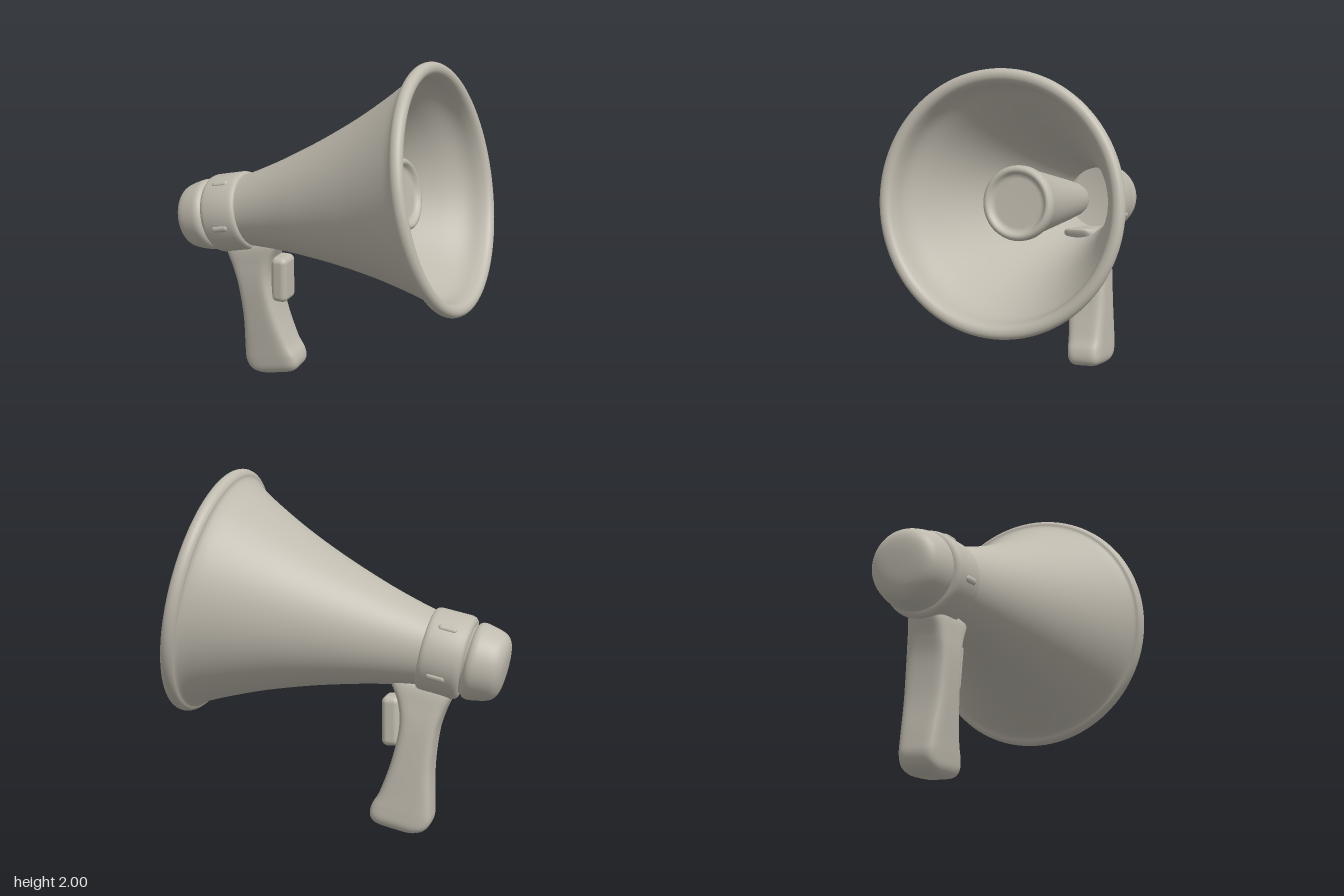
import * as THREE from 'three';
import { toCreasedNormals } from 'three/addons/utils/BufferGeometryUtils.js';
import { RoundedBoxGeometry } from 'three/addons/geometries/RoundedBoxGeometry.js';

const vecs = (pts) => pts.map(([x, y]) => new THREE.Vector2(x, y));

// Revolves a [radius, position] profile about the horn's own z axis
function revolve(points, segments = 96) {
  return new THREE.LatheGeometry(points, segments).rotateX(Math.PI / 2);
}

// Lofts rounded rectangles through [height, back, front, half width] stations, top to bottom
function loft(stations, rows = 72, sides = 64) {
  const pick = (k) => new THREE.SplineCurve(stations.map((s) => new THREE.Vector2(s[0], s[k])));
  const [backs, fronts, widths] = [pick(1), pick(2), pick(3)];
  const power = (v) => Math.sign(v) * Math.abs(v) ** 0.4;
  const positions = [];
  const index = [];
  for (let i = 0; i <= rows; i++) {
    const back = backs.getPoint(i / rows);
    const front = fronts.getPoint(i / rows).y;
    const width = widths.getPoint(i / rows).y;
    for (let j = 0; j < sides; j++) {
      const t = (j / sides) * Math.PI * 2;
      positions.push(
        width * power(Math.cos(t)), back.x,
        (back.y + front) / 2 + ((front - back.y) / 2) * power(Math.sin(t)),
      );
      if (i === rows) continue;
      const a = i * sides + j;
      const b = i * sides + ((j + 1) % sides);
      index.push(a, b, a + sides, b, b + sides, a + sides);
    }
  }
  const geometry = new THREE.BufferGeometry();
  geometry.setAttribute('position', new THREE.Float32BufferAttribute(positions, 3));
  geometry.setIndex(index);
  geometry.computeVertexNormals();
  return geometry;
}

export function createModel() {
  const model = new THREE.Group();
  const material = new THREE.MeshStandardMaterial({ color: 0xbfbaae, side: THREE.DoubleSide });
  material.name = 'warm grey';

  // The horn points along local +z, with the centre of its mouth at the origin
  const megaphone = new THREE.Group();
  megaphone.name = 'megaphone';
  megaphone.position.set(0.495, 1.3, 0.26);
  megaphone.rotation.set(-0.193, 0.946, 0, 'YXZ');
  model.add(megaphone);

  const add = (name, geometry) => {
    const mesh = new THREE.Mesh(geometry, material);
    mesh.name = name;
    megaphone.add(mesh);
    return mesh;
  };

  // Flared bell: thin wall, blended into a thick rolled rim and back down the inside
  const wall = [
    [0.2, -1.46], [0.213, -1.28], [0.264, -1.05], [0.325, -0.84],
    [0.39, -0.645], [0.473, -0.43], [0.555, -0.25], [0.624, -0.115],
  ];
  const rim = [
    [0.656, -0.063], [0.676, -0.042], [0.697, -0.034], [0.712, -0.018], [0.717, 0.002],
    [0.712, 0.021], [0.699, 0.034], [0.68, 0.038], [0.66, 0.032], [0.645, 0.015], [0.634, -0.02],
  ];
  const lining = wall.map(([r, z]) => [r - 0.01, z + 0.003]).reverse();
  add('bell', revolve(new THREE.SplineCurve(vecs([...wall, ...rim, ...lining])).getPoints(156), 112));

  // Inner horn with a rounded root, a rolled lip and a recessed face
  add('innerHorn', revolve(vecs([
    [0, -1.15], [0.04, -1.142], [0.072, -1.12], [0.09, -1.085], [0.104, -1.03],
    [0.126, -0.87], [0.165, -0.55], [0.192, -0.33], [0.203, -0.305],
    [0.208, -0.28], [0.208, -0.255], [0.203, -0.238], [0.193, -0.228], [0.181, -0.226],
    [0.17, -0.232], [0.162, -0.245], [0.152, -0.254], [0.135, -0.257], [0, -0.257],
  ]), 64));

  // Collar around the throat of the bell
  add('collar', toCreasedNormals(revolve(vecs([
    [0, -1.492], [0.205, -1.492], [0.222, -1.487], [0.233, -1.475], [0.238, -1.455],
    [0.238, -1.29], [0.236, -1.272], [0.229, -1.26], [0.22, -1.256], [0.208, -1.256],
  ])), 0.7));

  // Rounded end cap, joined to the collar by a narrow neck
  add('endCap', revolve(new THREE.SplineCurve(vecs([
    [0, -1.712], [0.08, -1.709], [0.14, -1.698], [0.178, -1.674], [0.198, -1.635],
    [0.215, -1.56], [0.216, -1.53], [0.208, -1.512], [0.195, -1.5], [0.19, -1.48],
  ])).getPoints(54)));

  // Small raised pads around the collar
  for (const degrees of [-104, -32, 40, 112]) {
    const a = THREE.MathUtils.degToRad(degrees);
    const pad = add('collarPad', new THREE.CapsuleGeometry(0.019, 0.068, 6, 16).rotateX(Math.PI / 2));
    pad.scale.y = 0.6;
    pad.position.set(0.236 * Math.sin(a), 0.236 * Math.cos(a), -1.368);
    pad.rotation.z = -a;
  }

  // Handle, slightly rolled about the horn's axis
  const handle = add('handle', loft([
    [-0.175, -1.28, -1.28, 0], [-0.18, -1.41, -1.13, 0.05], [-0.2, -1.462, -1.095, 0.1],
    [-0.32, -1.44, -1.175, 0.117], [-0.45, -1.43, -1.217, 0.125],
    [-0.65, -1.452, -1.22, 0.122], [-0.85, -1.5, -1.195, 0.115], [-0.94, -1.517, -1.167, 0.112],
    [-1.0, -1.497, -1.168, 0.106], [-1.035, -1.445, -1.195, 0.085], [-1.048, -1.385, -1.25, 0.05],
    [-1.05, -1.32, -1.32, 0],
  ]));
  handle.rotation.z = 0.096;

  // Nearly upright trigger on the front of the handle
  const trigger = add('trigger', new RoundedBoxGeometry(0.152, 0.285, 0.105, 6, 0.036));
  trigger.position.set(0.046, -0.443, -1.163);
  trigger.rotation.set(0.225, 0, 0.05);

  return model;
}
